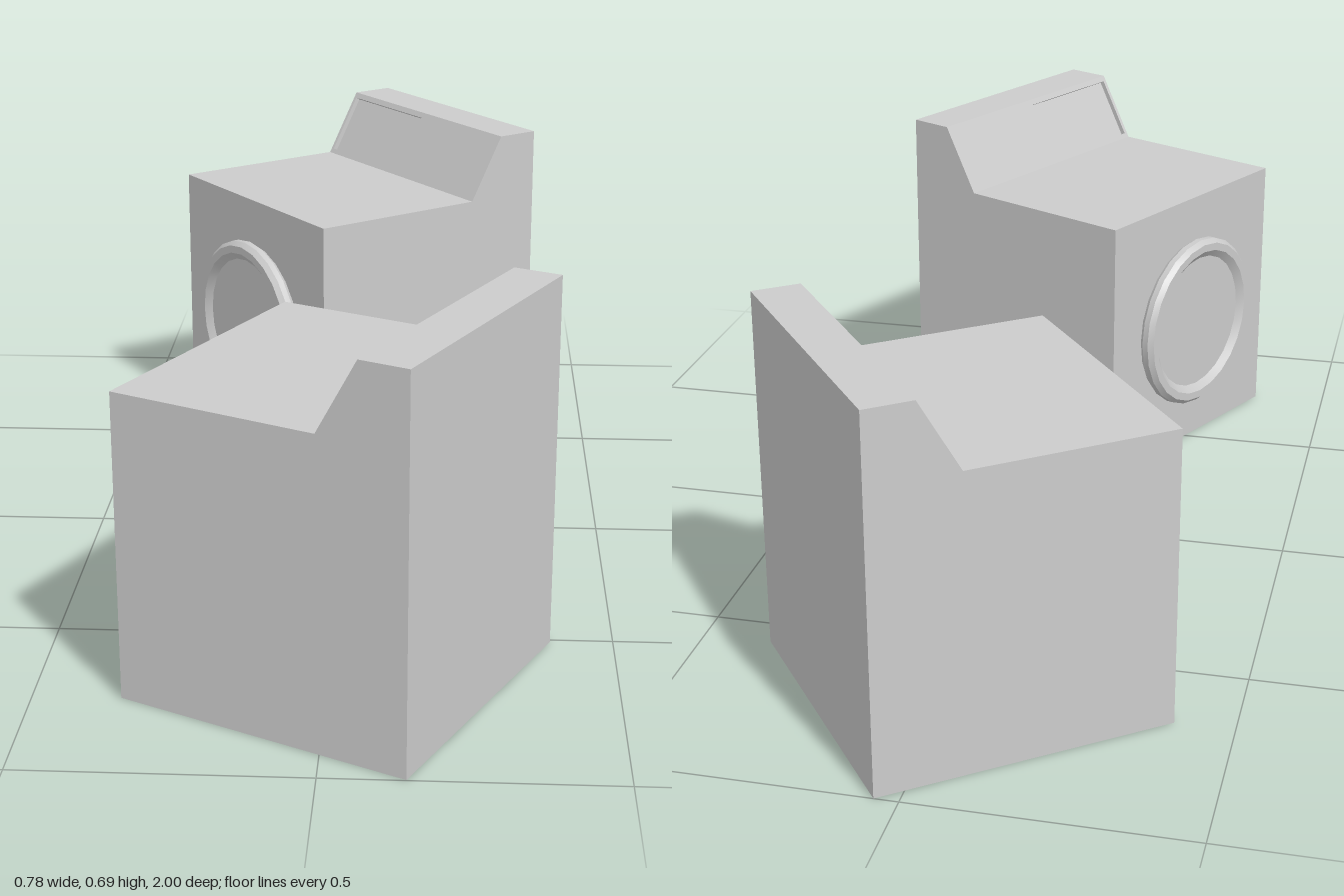
import * as THREE from 'three';
import { mergeGeometries, toCreasedNormals } from 'three/addons/utils/BufferGeometryUtils.js';

const HALF = 0.274;   // half width and half depth of a cabinet
const LOW = 0.554;    // height of the worktop
const HIGH = 0.687;   // height of the rear console
const material = new THREE.MeshStandardMaterial({ color: 0xcccccc });

// Console slope: from the worktop (t = 0) up to the console top (t = 1), sunk inwards by depth
const slopeFoot = new THREE.Vector2(-0.109, LOW);
const slopeTop = new THREE.Vector2(-0.184, HIGH);
function slopePoint(t, depth = 0) {
  const dir = slopeTop.clone().sub(slopeFoot).normalize();
  return slopeFoot.clone().lerp(slopeTop, t).add(new THREE.Vector2(-dir.y, dir.x).multiplyScalar(depth));
}

// One slice of the cabinet between x0 and x1, optionally with the recess cut in its slope
function cabinetSlice(x0, x1, recessed) {
  const d = 0.01;
  const recess = recessed
    ? [slopePoint(0.07), slopePoint(0.07, d), slopePoint(0.92, d), slopePoint(0.92)]
    : [];
  const shape = new THREE.Shape([
    new THREE.Vector2(-HALF, 0),
    new THREE.Vector2(HALF, 0),
    new THREE.Vector2(HALF, LOW),
    slopeFoot, ...recess, slopeTop,
    new THREE.Vector2(-HALF, HIGH),
  ]);
  const geometry = new THREE.ExtrudeGeometry(shape, { depth: x1 - x0, bevelEnabled: false });
  return geometry.rotateY(-Math.PI / 2).translate(x1, 0, 0);
}

// A cabinet whose control panel sits on the given side (+1 or -1)
function cabinet(side) {
  const cuts = [-HALF, 0.008, 0.266, HALF].map((x) => x * side).sort((a, b) => a - b);
  const slices = [0, 1, 2].map((i) => cabinetSlice(cuts[i], cuts[i + 1], i === 1));
  const mesh = new THREE.Mesh(mergeGeometries(slices), material);
  mesh.name = 'cabinet';
  return mesh;
}

// Round door: raised rim with a sunken window
function door() {
  const profile = [
    [0.178, -0.002], [0.186, 0.009], [0.186, 0.022], [0.177, 0.032],
    [0.161, 0.032], [0.146, 0.02], [0, 0.02],
  ].map(([r, h]) => new THREE.Vector2(r, h));
  const geometry = toCreasedNormals(new THREE.LatheGeometry(profile, 24), 0.5);
  const mesh = new THREE.Mesh(geometry.rotateX(Math.PI / 2), material);
  mesh.position.set(0, 0.277, HALF);
  mesh.name = 'door';
  return mesh;
}

function machine(name, side, x, z, turn) {
  const group = new THREE.Group();
  group.name = name;
  group.add(cabinet(side), door());
  group.position.set(x, 0, z);
  group.rotation.y = turn;
  return group;
}

export function createModel() {
  const model = new THREE.Group();
  model.name = 'laundryMachines';
  model.add(
    machine('rearMachine', -1, -0.01, -0.616, -0.922),
    machine('frontMachine', 1, 0.02, 0.631, -2.034),
  );
  return model;
}
